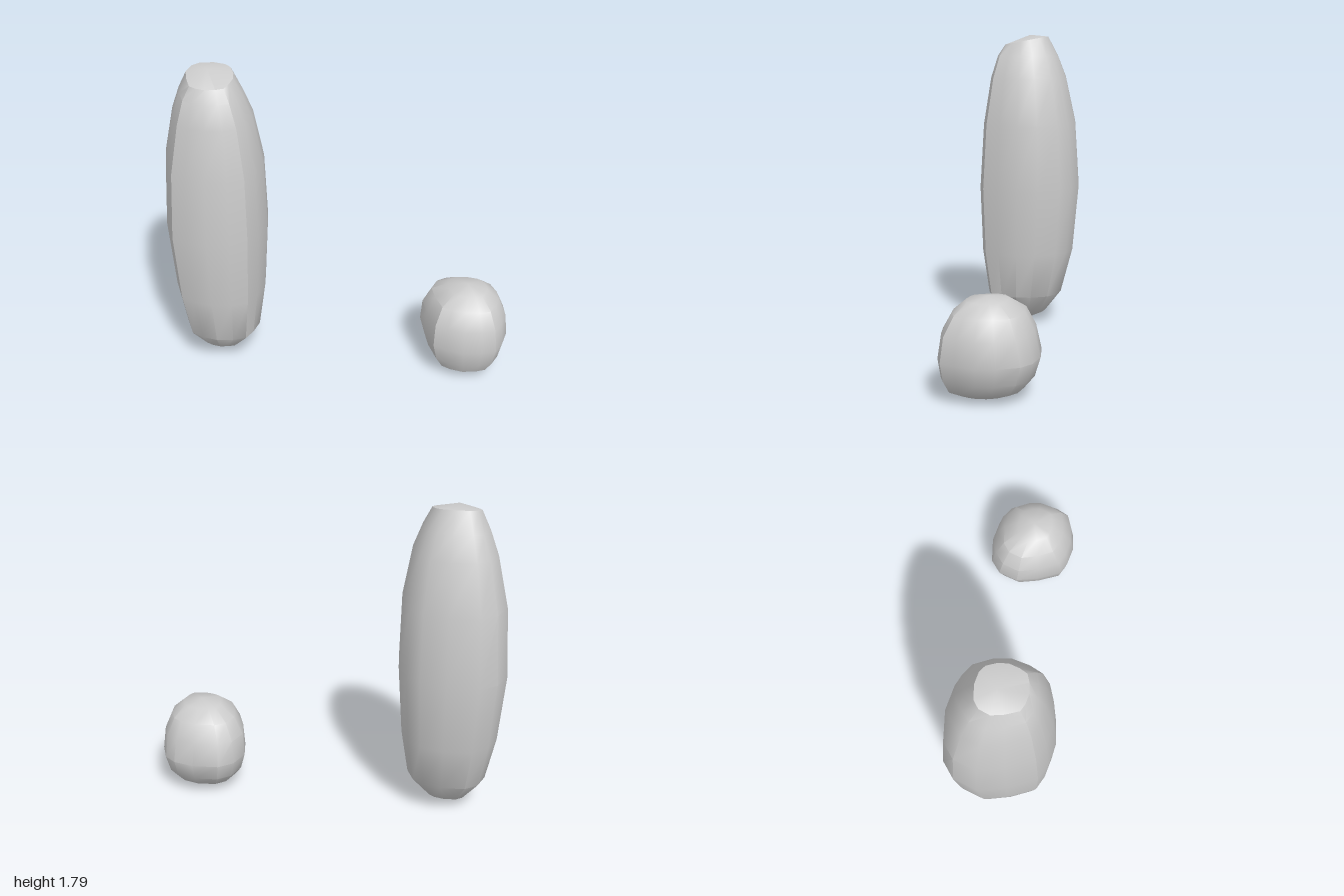
import * as THREE from 'three';
import { toCreasedNormals } from 'three/addons/utils/BufferGeometryUtils.js';

// Rounded-square outline (x, z) shared by both stones, within -1..1
const OUTLINE = [
  [-0.63, 0.78], [-0.34, 0.92], [0.05, 1], [0.46, 0.94], [0.77, 0.82],
  [0.91, 0.51], [1, 0.1], [0.94, -0.3], [0.74, -0.72], [0.47, -0.91],
  [0, -1], [-0.57, -0.93], [-0.86, -0.7], [-1, -0.25], [-0.87, 0.25],
];

// Skin a stone through levels [y, xMin, xMax, zMin, zMax, tilt], closed by two tips [x, y, z]
function stone(name, bottom, levels, top) {
  const n = OUTLINE.length;
  const points = [...bottom];
  for (const [y, x0, x1, z0, z1, tilt = 0] of levels) {
    for (const [u, v] of OUTLINE) {
      points.push(
        (x0 + x1) / 2 + (u * (x1 - x0)) / 2,
        y + tilt * v,
        (z0 + z1) / 2 + (v * (z1 - z0)) / 2,
      );
    }
  }
  points.push(...top);

  const index = [];
  const at = (i, j) => 1 + i * n + (j % n);
  const last = levels.length - 1;
  for (let j = 0; j < n; j++) {
    index.push(0, at(0, j + 1), at(0, j));
    for (let i = 0; i < last; i++) {
      const a = at(i, j), b = at(i, j + 1), c = at(i + 1, j + 1), d = at(i + 1, j);
      index.push(a, b, c, a, c, d);
    }
    index.push(at(last, j), at(last, j + 1), 1 + n * levels.length);
  }

  const geometry = new THREE.BufferGeometry();
  geometry.setAttribute('position', new THREE.Float32BufferAttribute(points, 3));
  geometry.setIndex(index);
  const mesh = new THREE.Mesh(
    toCreasedNormals(geometry, 0.6),
    new THREE.MeshStandardMaterial({ color: 0xcccccc }),
  );
  mesh.name = name;
  return mesh;
}

export function createModel() {
  const group = new THREE.Group();
  group.name = 'stones';

  // Tall standing stone with a pointed base and a small sloping top
  group.add(stone('tallStone', [-0.69, 0.01, 0.02], [
    [0.07, -0.81, -0.57, -0.1, 0.14],
    [0.2, -0.91, -0.455, -0.2, 0.25],
    [0.47, -0.965, -0.415, -0.27, 0.29],
    [0.87, -1, -0.39, -0.305, 0.305],
    [1.26, -0.975, -0.4, -0.28, 0.28],
    [1.54, -0.91, -0.45, -0.22, 0.235],
    [1.67, -0.86, -0.5, -0.17, 0.195],
    [1.76, -0.81, -0.545, -0.11, 0.15, -0.025],
  ], [-0.69, 1.795, 0]));

  // Small rounded stone with a shallow base
  group.add(stone('smallStone', [0.75, 0.005, 0], [
    [0.02, 0.65, 0.86, -0.12, 0.11],
    [0.055, 0.57, 0.93, -0.21, 0.18],
    [0.12, 0.52, 0.975, -0.265, 0.21],
    [0.22, 0.49, 1, -0.295, 0.225],
    [0.35, 0.5, 0.985, -0.265, 0.205],
    [0.45, 0.55, 0.94, -0.215, 0.15],
    [0.51, 0.64, 0.87, -0.13, 0.08],
  ], [0.76, 0.53, -0.03]));

  return group;
}
